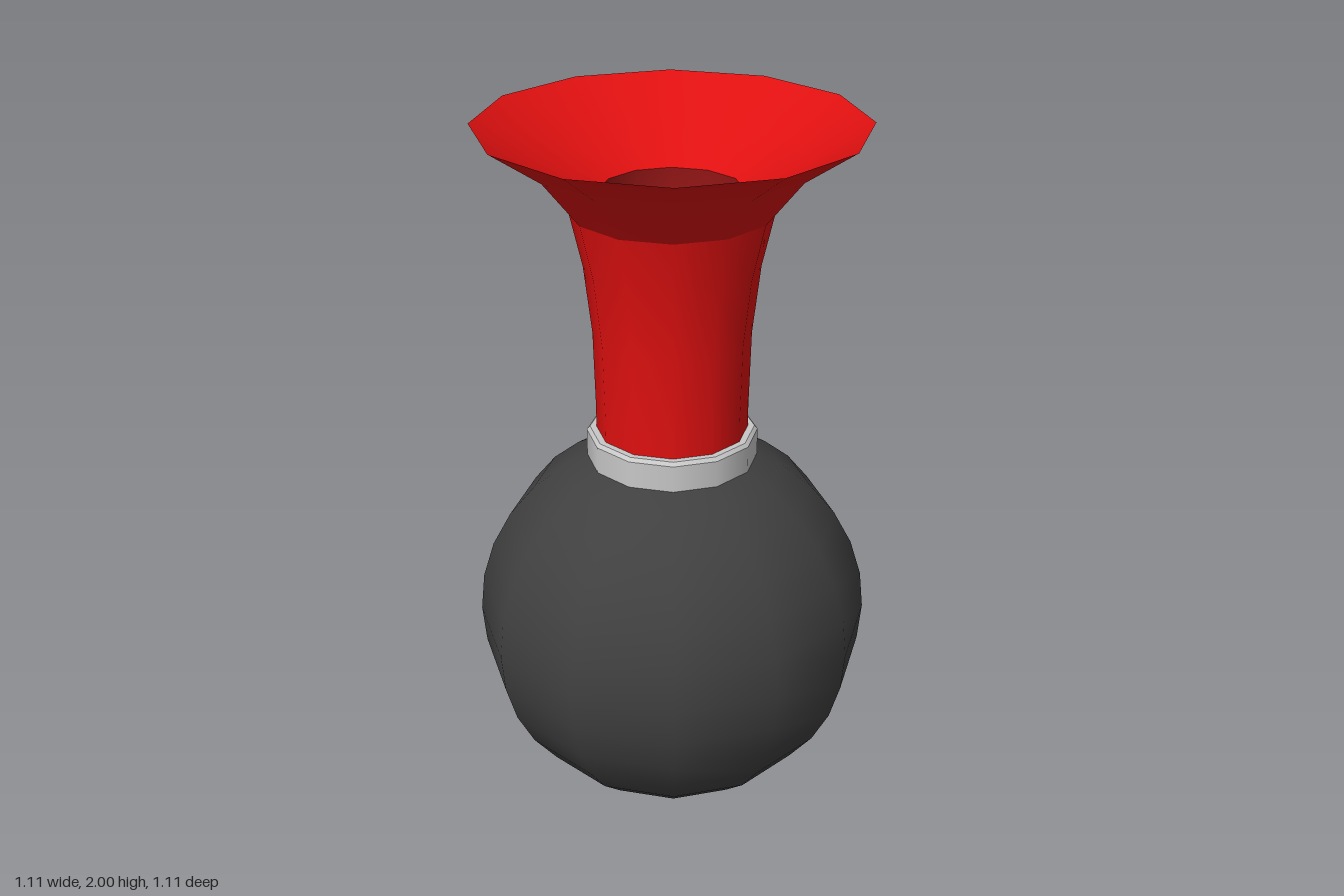
import * as THREE from 'three';

const SIDES = 12;
const red = new THREE.MeshStandardMaterial({ color: 0xe01010 });
red.name = 'red';
const darkRed = new THREE.MeshStandardMaterial({ color: 0x8c1414 });
darkRed.name = 'dark red';
const rubber = new THREE.MeshStandardMaterial({ color: 0x404040 });
rubber.name = 'dark grey rubber';
const silver = new THREE.MeshStandardMaterial({ color: 0xc8c8c8 });
silver.name = 'light grey';

// Turned part: rising profiles face outward, falling ones face inward
function turned(name, profile, material) {
  const points = profile.map(([r, y]) => new THREE.Vector2(r, y));
  const mesh = new THREE.Mesh(new THREE.LatheGeometry(points, SIDES), material);
  mesh.name = name;
  return mesh;
}

export function createModel() {
  const horn = new THREE.Group();
  horn.name = 'bulbHorn';

  // Squeeze bulb, with a corner on each axis
  const bulb = new THREE.Mesh(new THREE.SphereGeometry(0.553, SIDES, 16), rubber);
  bulb.name = 'bulb';
  bulb.position.y = 0.557;
  horn.add(bulb);

  // Collar: wall, bevel and flat top as separate creased bands
  horn.add(
    turned('collarWall', [[0.237, 1.04], [0.237, 1.13]], silver),
    turned('collarBevel', [[0.237, 1.13], [0.228, 1.14]], silver),
    turned('collarTop', [[0.228, 1.14], [0.2, 1.14]], silver)
  );

  // Neck and bell, creased where the bell opens out
  horn.add(
    turned('neck', [[0.21, 1.06], [0.21, 1.2], [0.216, 1.42], [0.238, 1.61], [0.275, 1.77]], red),
    turned('bellOutside', [[0.275, 1.77], [0.38, 1.9], [0.525, 2]], red),
    turned('bellInside', [[0.525, 2], [0.36, 1.9], [0.195, 1.82]], red)
  );

  // Rounded hollow at the bottom of the bell
  const hollow = [];
  for (let i = 0; i <= 8; i++) {
    const a = (i / 8) * Math.PI / 2;
    hollow.push([0.195 * Math.cos(a), 1.82 - 0.22 * Math.sin(a)]);
  }
  hollow[8][0] = 0;
  horn.add(turned('throat', hollow, darkRed));

  return horn;
}
